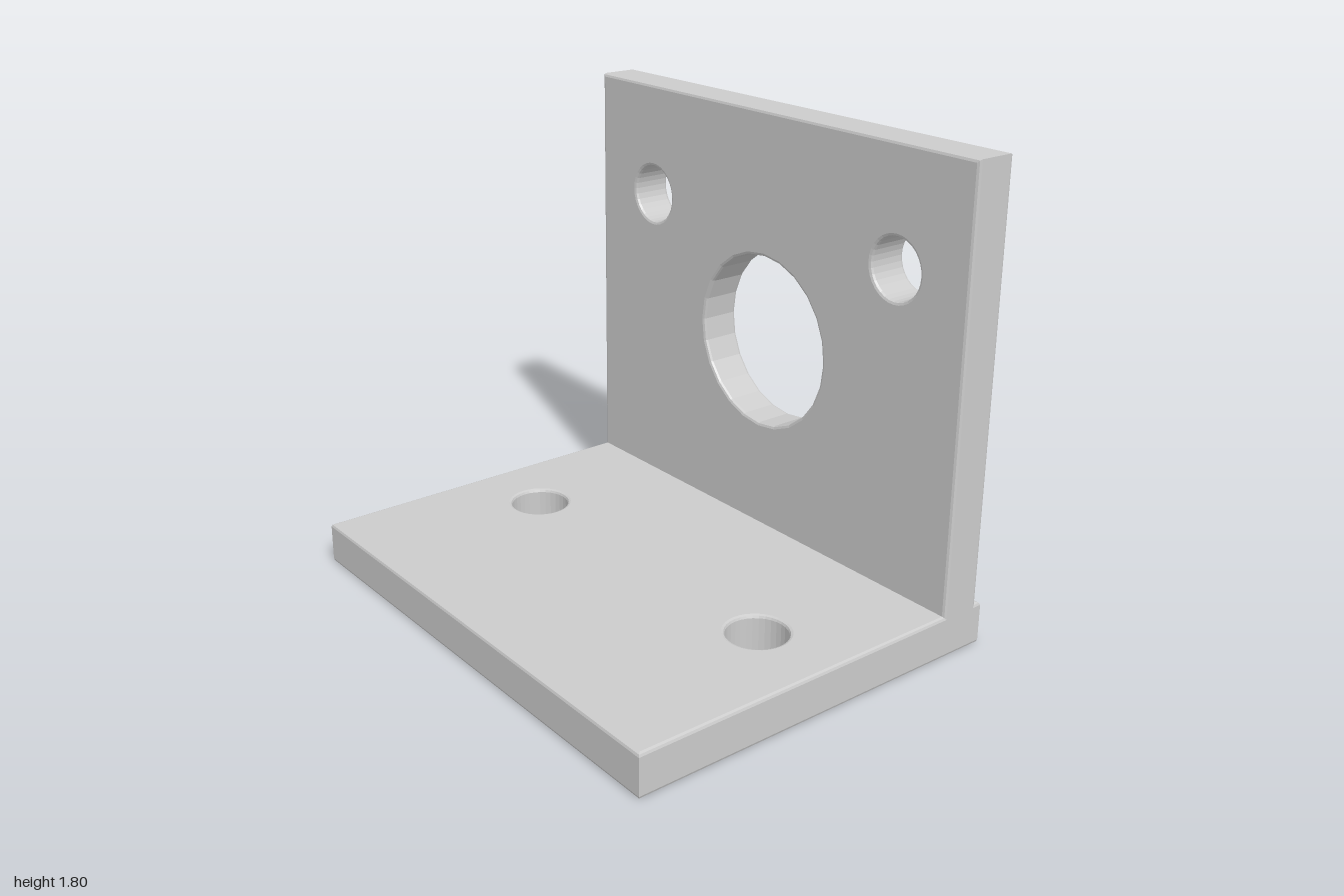
import * as THREE from 'three';

const BEVEL = 0.012;
const T = 0.165; // plate thickness

// Rectangular plate with round holes [x, y, radius, sides], extruded from z = 0 to depth
function plate(name, y0, y1, depth, holes, material) {
  const shape = new THREE.Shape([
    new THREE.Vector2(-1, y0), new THREE.Vector2(1, y0),
    new THREE.Vector2(1, y1), new THREE.Vector2(-1, y1),
  ]);
  for (const [x, y, r, sides] of holes) {
    const points = [];
    for (let i = 0; i < sides; i++) {
      const a = -i / sides * Math.PI * 2;
      points.push(new THREE.Vector2(x + r * Math.cos(a), y + r * Math.sin(a)));
    }
    shape.holes.push(new THREE.Path(points));
  }
  const geometry = new THREE.ExtrudeGeometry(shape, {
    depth: depth - 2 * BEVEL,
    bevelThickness: BEVEL, bevelSize: BEVEL, bevelOffset: -BEVEL, bevelSegments: 2,
  });
  geometry.translate(0, 0, BEVEL);
  const mesh = new THREE.Mesh(geometry, material);
  mesh.name = name;
  return mesh;
}

export function createModel() {
  const group = new THREE.Group();
  group.name = 'angleBracket';
  const material = new THREE.MeshStandardMaterial({ color: 0xcccccc, flatShading: true });

  // Base plate with two mounting holes
  const base = plate('basePlate', -0.775, 0.775, T,
    [-1, 1].map((s) => [s * 0.667, 0, 0.114, 32]), material);
  base.geometry.rotateX(-Math.PI / 2);

  // Upright plate with a large bore and two mounting holes, sunk into the base
  const wall = plate('uprightPlate', 0.1, 1.805, 0.162,
    [[0, 0.92, 0.336, 24], ...[-1, 1].map((s) => [s * 0.667, 1.365, 0.114, 32])], material);
  wall.position.z = -0.747;

  group.add(base, wall);
  return group;
}
